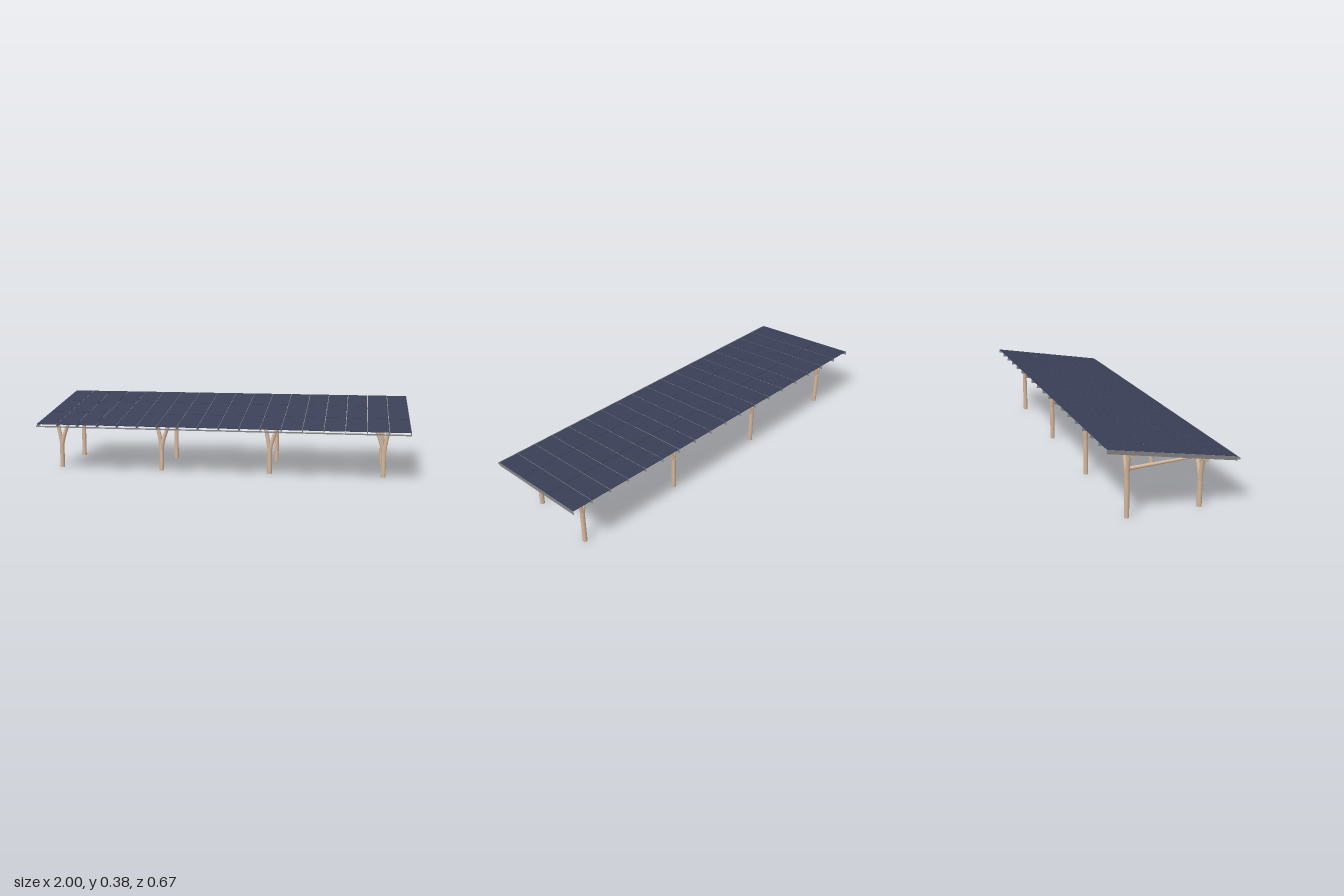
import * as THREE from 'three';

export function createModel() {
  const model = new THREE.Group();
  const mat = (name, color, side = THREE.FrontSide) => {
    const m = new THREE.MeshStandardMaterial({ color, side });
    m.name = name;
    return m;
  };
  const wood = mat('pale timber', 0xd4b69c);
  const steel = mat('grey metal', 0x858585);
  const glass = mat('navy panel', 0x3b4058);

  const add = (parent, name, geometry, material, x = 0, y = 0, z = 0) => {
    const mesh = new THREE.Mesh(geometry, material);
    mesh.name = name;
    mesh.position.set(x, y, z);
    parent.add(mesh);
    return mesh;
  };
  // Round timber between two points, with its own radius at each end
  const pole = (parent, name, a, b, r0, r1) => {
    const from = new THREE.Vector3(...a), to = new THREE.Vector3(...b);
    const dir = to.clone().sub(from);
    const mesh = add(parent, name, new THREE.CylinderGeometry(r1, r0, dir.length(), 16), wood);
    mesh.position.copy(from).add(to).multiplyScalar(0.5);
    mesh.quaternion.setFromUnitVectors(new THREE.Vector3(0, 1, 0), dir.normalize());
    return mesh;
  };

  // Tilted roof: three rows of eighteen panels on thin upright rafters
  const roof = new THREE.Group();
  roof.name = 'roof';
  roof.position.set(0, 0.323, -0.0065);
  roof.rotation.x = Math.atan2(0.116, 0.653);
  model.add(roof);
  const cols = 18, rows = 3, length = 0.663, gap = 0.004;
  const cw = 2 / cols, rl = length / rows;
  const panel = new THREE.BoxGeometry(cw - gap, 0.003, rl - gap);
  for (let c = 0; c < cols; c++) {
    for (let r = 0; r < rows; r++) {
      add(roof, 'panel', panel, glass, -1 + (c + 0.5) * cw, -0.0015, (r - 1) * rl);
    }
  }
  const rafter = new THREE.BoxGeometry(0.0024, 0.019, length);
  for (let c = 0; c <= cols; c++) {
    const x = THREE.MathUtils.clamp(-1 + c * cw, -0.9988, 0.9988);
    add(roof, 'rafter', rafter, steel, x, -0.0105, 0);
  }

  // Gutter along the low front edge
  const gutter = new THREE.Group();
  gutter.name = 'gutter';
  model.add(gutter);
  add(gutter, 'gutterFloor', new THREE.BoxGeometry(2, 0.0015, 0.016), steel, 0, 0.2495, 0.325);
  add(gutter, 'gutterLip', new THREE.BoxGeometry(2, 0.007, 0.0015), steel, 0, 0.2525, 0.3325);

  // Long round beams
  const front = { z: 0.17, top: 0.26, fork: 0.12 };
  const back = { z: -0.205, top: 0.33, fork: 0.18 };
  for (const { z, top } of [front, back]) {
    pole(model, 'beam', [-0.975, top, z], [0.975, top, z], 0.014, 0.014);
  }

  // Forked tree-trunk posts; the last pair is mirrored
  const posts = [[-0.915, 1], [-0.34, 1], [0.26, 1], [0.867, -1]];
  for (const [x, flip] of posts) {
    for (const { z, top, fork } of [front, back]) {
      const post = new THREE.Group();
      post.name = 'forkedPost';
      post.position.set(x, 0, z);
      model.add(post);
      pole(post, 'trunk', [0, 0, 0], [0, fork + 0.012, 0], 0.0125, 0.0125);
      for (const spread of [-0.026, 0.044]) {
        const dx = spread * flip;
        const curve = new THREE.QuadraticBezierCurve3(
          new THREE.Vector3(0, fork - 0.01, 0),
          new THREE.Vector3(dx * 0.1, fork + (top - fork) * 0.35, 0),
          new THREE.Vector3(dx, top, 0));
        add(post, 'branch', new THREE.TubeGeometry(curve, 12, 0.0105, 14), wood);
      }
    }
    // Tie from the front beam back to the tall post
    pole(model, 'tie', [x, 0.26, front.z], [x, 0.243, back.z], 0.006, 0.009);
  }
  return model;
}
